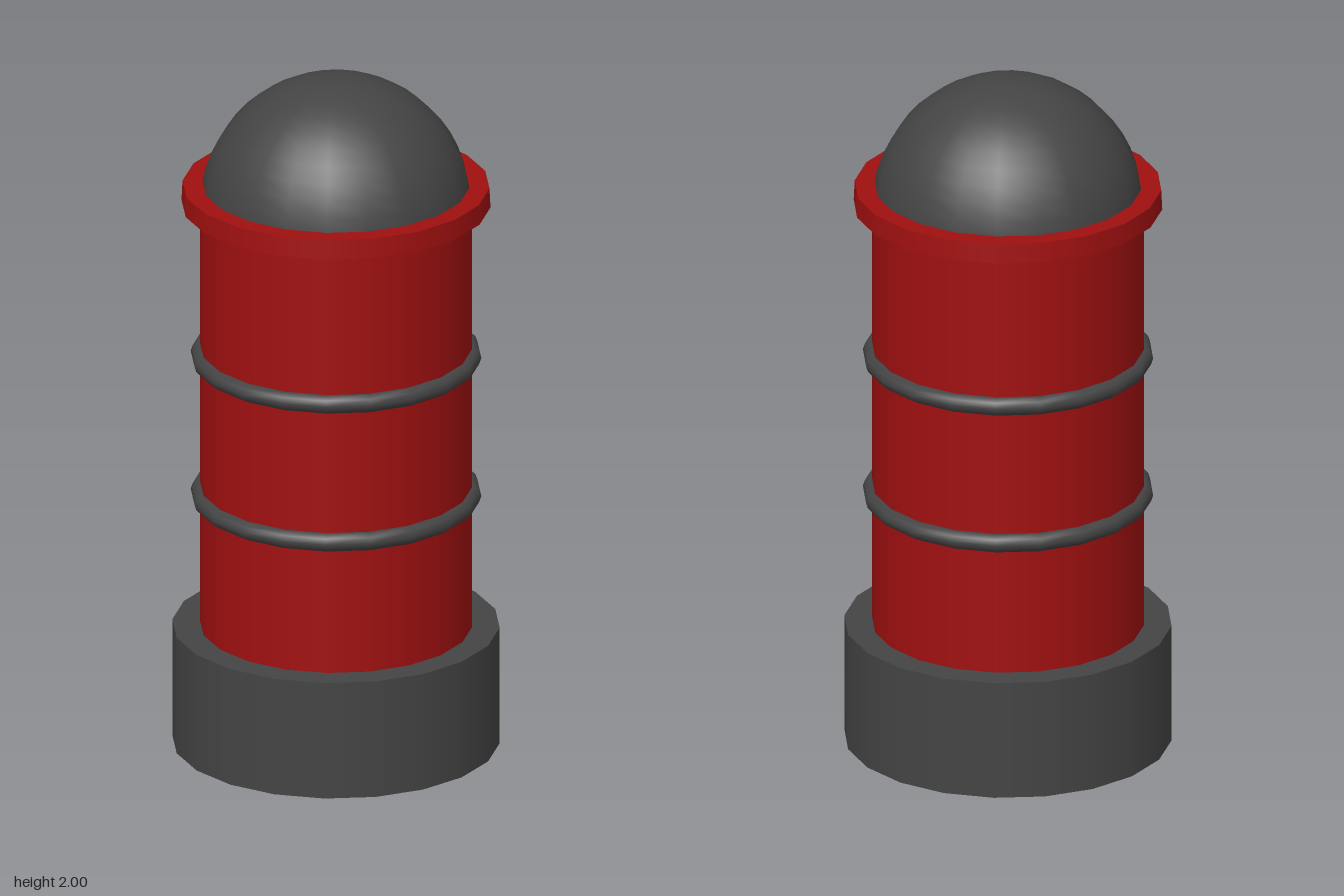
import * as THREE from 'three';

const SIDES = 20;

export function createModel() {
  const group = new THREE.Group();
  const dark = new THREE.MeshStandardMaterial({ color: 0x444444 });
  const red = new THREE.MeshStandardMaterial({ color: 0xa01010 });

  const add = (name, geometry, material, y) => {
    const mesh = new THREE.Mesh(geometry, material);
    mesh.name = name;
    mesh.position.y = y;
    group.add(mesh);
    return mesh;
  };
  // Cylinder given by its bottom and top heights
  const drum = (name, rTop, rBottom, y0, y1, material) =>
    add(name, new THREE.CylinderGeometry(rTop, rBottom, y1 - y0, SIDES), material, (y0 + y1) / 2);

  // Foot and post
  drum('base', 0.463, 0.463, 0, 0.35, dark);
  drum('body', 0.385, 0.385, 0.35, 1.63, red);

  // Rounded bands around the post
  [['lowerBand', 0.747], ['upperBand', 1.165]].forEach(([name, y]) => {
    const ring = new THREE.TorusGeometry(0.383, 0.028, 10, SIDES).rotateX(Math.PI / 2);
    add(name, ring, dark, y);
  });

  // Collar and domed cap
  drum('collar', 0.434, 0.437, 1.622, 1.68, red);
  add('dome', new THREE.SphereGeometry(0.383, SIDES, 12, 0, Math.PI * 2, 0, Math.PI / 2), dark, 1.617);

  return group;
}
